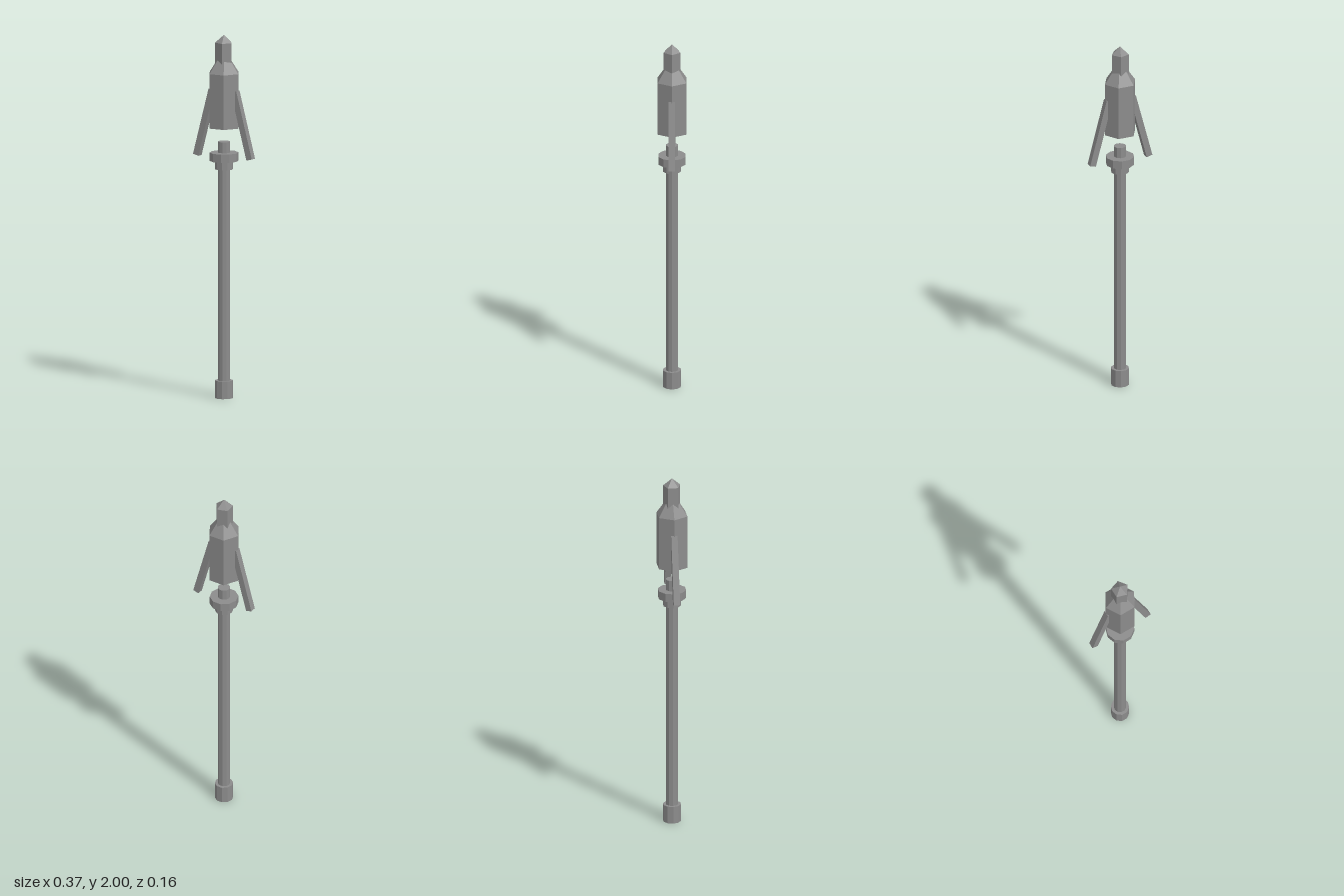
import * as THREE from 'three';

export function createModel() {
  const group = new THREE.Group();
  const steel = new THREE.MeshStandardMaterial({ color: 0x8c8c8c, flatShading: true });
  steel.name = 'grey steel';

  const add = (name, geometry) => {
    const mesh = new THREE.Mesh(geometry, steel);
    mesh.name = name;
    group.add(mesh);
    return mesh;
  };

  // Faceted upright prism, frustum or cone with one corner on +x
  const prism = (name, sides, rBottom, rTop, y0, y1) => {
    const geometry = rTop === 0
      ? new THREE.ConeGeometry(rBottom, y1 - y0, sides)
      : new THREE.CylinderGeometry(rTop, rBottom, y1 - y0, sides);
    geometry.rotateY(Math.PI / 2);
    geometry.translate(0, (y0 + y1) / 2, 0);
    return add(name, geometry);
  };

  // Handle
  prism('shaft', 10, 0.034, 0.034, 0.02, 1.412);
  prism('pommel', 10, 0.05, 0.05, 0, 0.097);
  prism('lowerCollar', 10, 0.05, 0.05, 1.26, 1.306);
  prism('upperCollar', 10, 0.078, 0.078, 1.306, 1.352);

  // Floating head
  prism('headBody', 6, 0.09, 0.09, 1.49, 1.79);
  prism('headShoulder', 6, 0.09, 0, 1.79, 1.92);
  prism('tipNeck', 5, 0.049, 0.049, 1.8, 1.957);
  prism('tipPoint', 5, 0.049, 0, 1.957, 2);

  // Splayed bars on both sides of the head
  const tilt = THREE.MathUtils.degToRad(15);
  for (const side of [-1, 1]) {
    const bar = add(side > 0 ? 'leftBar' : 'rightBar', new THREE.BoxGeometry(0.035, 0.38, 0.035));
    bar.position.set(side * 0.12, 1.51, 0);
    bar.rotation.z = side * tilt;
  }

  return group;
}
